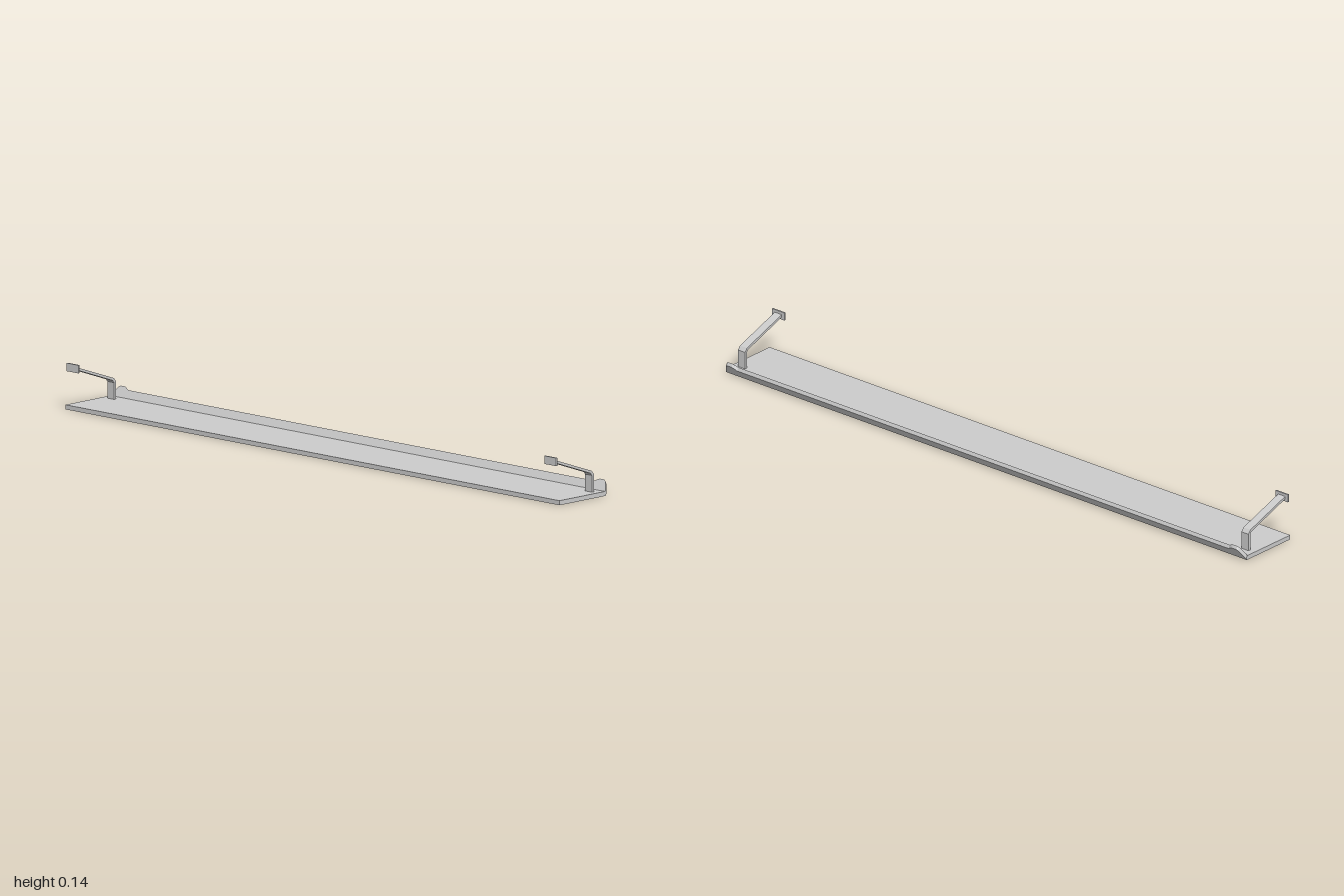
import * as THREE from 'three';

const material = new THREE.MeshStandardMaterial({ color: 0xcccccc, flatShading: true });

function part(name, geometry) {
  const mesh = new THREE.Mesh(geometry, material);
  mesh.name = name;
  return mesh;
}

// Flat outline pushed out along z, centred on z = 0
function extrude(points, depth) {
  const shape = new THREE.Shape(points.map(([x, y]) => new THREE.Vector2(x, y)));
  const geometry = new THREE.ExtrudeGeometry(shape, { depth, bevelEnabled: false });
  return geometry.translate(0, 0, -depth / 2);
}

// Slanted lip: outline of (z, height fraction), bent up from the mitred board edge
function lipGeometry() {
  const half = [[1, 0], [1, 0.1], [0.985, 0.88], [0.978, 1], [0.961, 1], [0.953, 0.9], [0.944, 0.74]];
  const outline = [...half, ...half.map(([z, t]) => [-z, t]).reverse()];
  const geometry = extrude(outline, 1).translate(0, 0, 0.5);
  const p = geometry.attributes.position;
  for (let i = 0; i < p.count; i++) {
    const z = p.getX(i), t = p.getY(i), inner = p.getZ(i);
    const x = THREE.MathUtils.lerp(0.0865 + 0.0215 * t, 0.083 + 0.0195 * t, inner);
    const y = THREE.MathUtils.lerp(0.034 * t, 0.0135 + 0.0295 * t, inner);
    p.setXYZ(i, x, y, z);
  }
  geometry.computeVertexNormals();
  return geometry;
}

// Bent flat arm with a mounting plate at its free end
function bracket(name, z) {
  const group = new THREE.Group();
  group.name = name;
  const arm = [
    [0.049, 0.012], [0.057, 0.012], [0.057, 0.066], [0.048, 0.077],
    [-0.106, 0.131], [-0.106, 0.123], [0.044, 0.07], [0.049, 0.063],
  ];
  group.add(part('arm', extrude(arm, 0.027)));
  const plate = part('mountingPlate', new THREE.BoxGeometry(0.005, 0.024, 0.048));
  plate.position.set(-0.1075, 0.127, 0);
  group.add(plate);
  group.position.z = z;
  return group;
}

export function createModel() {
  const model = new THREE.Group();
  model.name = 'bracketedShelf';

  // Long flat board with a mitred edge, and the lip that rises from it
  const board = [[-0.105, 0], [0.0865, 0], [0.083, 0.0135], [-0.105, 0.0135]];
  model.add(part('board', extrude(board, 2)));
  model.add(part('lip', lipGeometry()));

  // One bracket at each end
  model.add(bracket('frontBracket', 0.967), bracket('backBracket', -0.967));
  return model;
}
